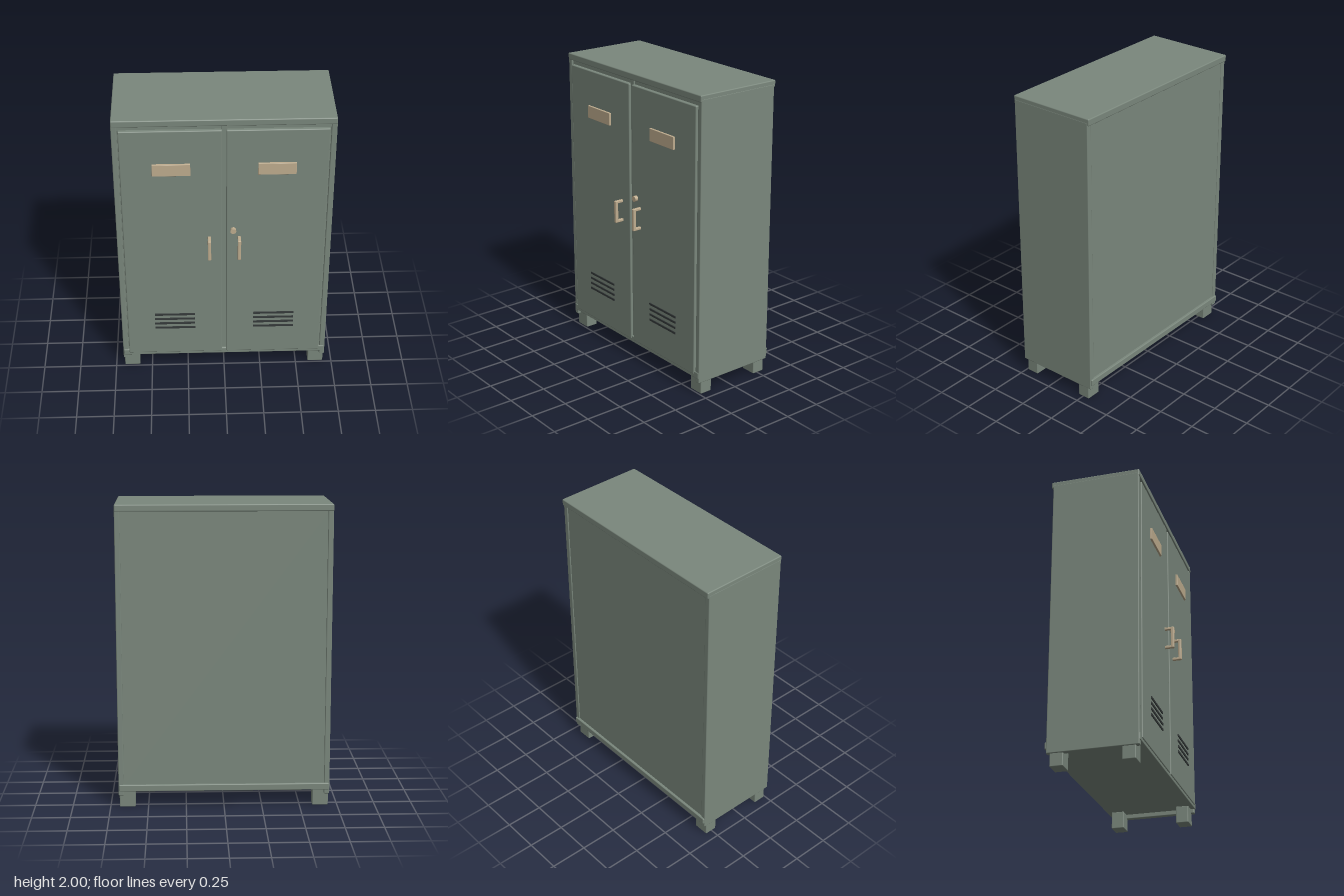
import * as THREE from 'three';
import { RoundedBoxGeometry } from 'three/addons/geometries/RoundedBoxGeometry.js';

export function createModel() {
  const model = new THREE.Group();
  model.name = 'locker';
  const mat = (name, color) => {
    const m = new THREE.MeshStandardMaterial({ color });
    m.name = name;
    return m;
  };
  const green = mat('grey green paint', 0x7a877c);
  const tan = mat('tan metal', 0xbfad8f);
  const dark = mat('dark slot', 0x353a3a);

  // box from its limits, with an optional rounded edge
  function box(name, material, [x0, x1], [y0, y1], [z0, z1], radius = 0, parent = model) {
    const w = x1 - x0, h = y1 - y0, d = z1 - z0;
    const geo = radius ? new RoundedBoxGeometry(w, h, d, 2, radius) : new THREE.BoxGeometry(w, h, d);
    const mesh = new THREE.Mesh(geo, material);
    mesh.name = name;
    mesh.position.set((x0 + x1) / 2, (y0 + y1) / 2, (z0 + z1) / 2);
    parent.add(mesh);
    return mesh;
  }

  // cabinet shell
  box('topPanel', green, [-0.695, 0.695], [1.955, 2], [-0.333, 0.268], 0.007);
  box('backPanel', green, [-0.68, 0.68], [0.12, 1.97], [-0.316, -0.29]);
  box('floorPanel', green, [-0.68, 0.68], [0.115, 0.15], [-0.315, 0.25]);
  box('frontFrame', green, [-0.68, 0.68], [0.12, 1.96], [0.225, 0.25]);
  box('centrePost', green, [-0.02, 0.02], [0.13, 1.96], [0.22, 0.257], 0.005);
  for (const [name, z0, z1] of [['frontBottomRail', 0.22, 0.268], ['backBottomRail', -0.333, -0.285]])
    box(name, green, [-0.692, 0.692], [0.115, 0.16], [z0, z1], 0.006);

  for (const s of [-1, 1]) {
    const span = (a, b) => (s > 0 ? [a, b] : [-b, -a]);
    box('sidePanel', green, span(0.66, 0.696), [0.085, 1.975], [-0.322, 0.264], 0.006);
    // feet
    for (const z of [-0.257, 0.197])
      box('foot', green, span(0.585, 0.69), [0, 0.118], [z - 0.043, z + 0.043], 0.006);

    // door with its fittings
    const door = new THREE.Group();
    door.name = s > 0 ? 'leftDoor' : 'rightDoor';
    model.add(door);
    box('doorPanel', green, span(0.013, 0.654), [0.137, 1.927], [0.24, 0.273], 0.007, door);
    box('namePlate', tan, span(0.212, 0.453), [1.605, 1.69], [0.268, 0.286], 0.003, door);
    for (let i = 0; i < 4; i++) {
      const y = 0.362 + i * 0.038;
      box('ventSlot', dark, span(0.197, 0.469), [y - 0.007, y + 0.007], [0.27, 0.279], 0, door);
    }

    // pull handle
    const x = s * 0.097;
    const handle = new THREE.Group();
    handle.name = 'handle';
    door.add(handle);
    box('handleGrip', tan, [x - 0.011, x + 0.011], [0.973, 1.125], [0.313, 0.335], 0.005, handle);
    for (const y of [0.982, 1.116])
      box('handleArm', tan, [x - 0.01, x + 0.01], [y - 0.009, y + 0.009], [0.265, 0.325], 0.004, handle);
  }

  // lock
  const lock = new THREE.Mesh(new THREE.CylinderGeometry(0.019, 0.019, 0.03, 20), tan);
  lock.name = 'lock';
  lock.rotation.x = Math.PI / 2;
  lock.position.set(0.058, 1.176, 0.281);
  model.add(lock);

  return model;
}
